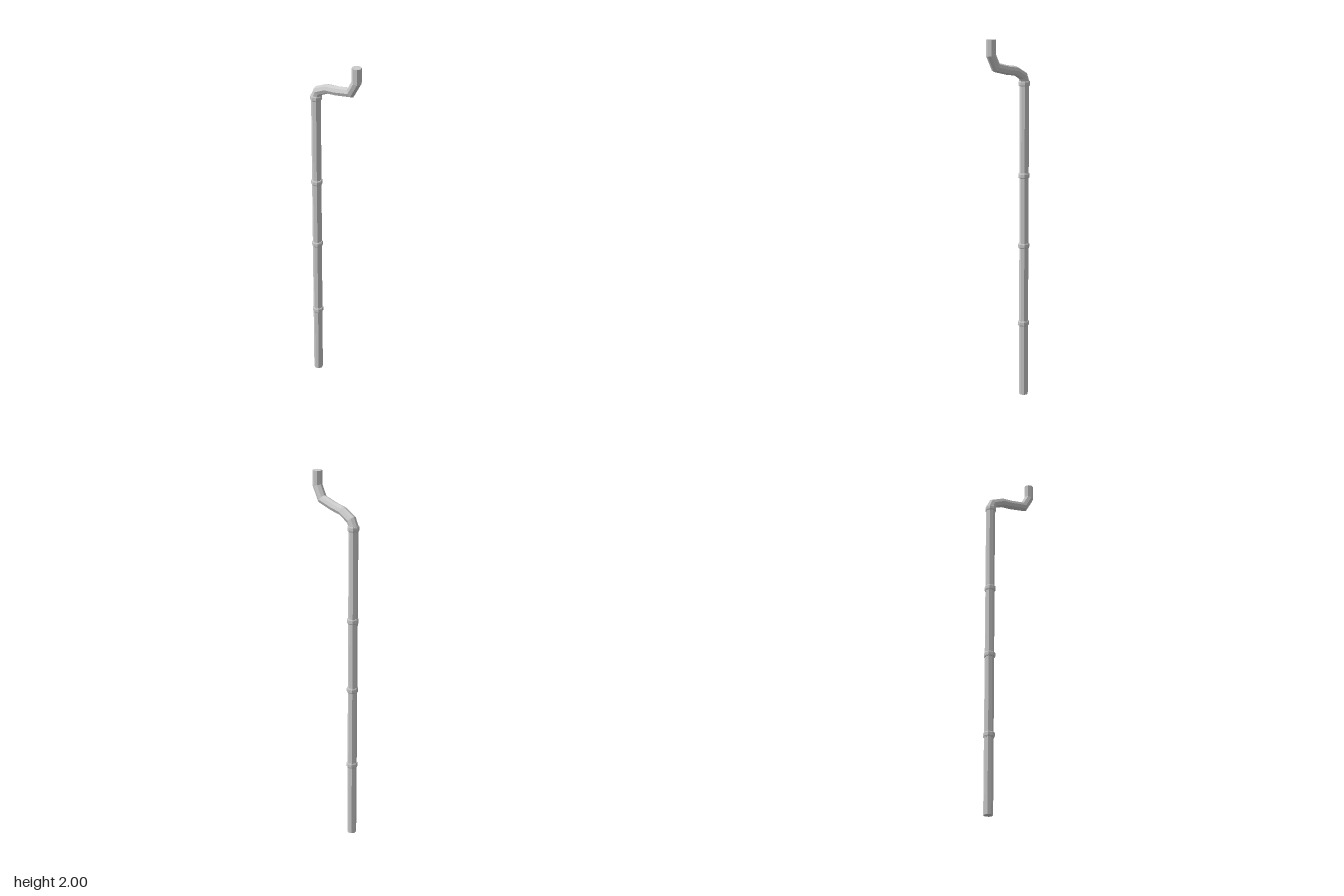
import * as THREE from 'three';

const SIDES = 8;
const RADIUS = 0.025;
const material = new THREE.MeshStandardMaterial({ color: 0xcccccc, flatShading: true });

// Centre line of the pipe: straight drop, then an S-bend to the outlet (x, y, z)
const PATH = [
  [-0.136, 0, 0], [-0.136, 1.76, 0], [-0.121, 1.792, -0.001], [-0.056, 1.824, -0.002],
  [0.008, 1.834, -0.002], [0.1, 1.856, -0.003], [0.138, 1.922, -0.003], [0.138, 2, -0.003],
].map((p) => new THREE.Vector3(...p));

// Sweeps an octagon along the path with mitred joints and closed ends
function sweepPipe(path, radius) {
  const positions = [];
  const index = [];
  const last = path.length - 1;
  path.forEach((p, i) => {
    const before = path[Math.max(i - 1, 0)];
    const after = path[Math.min(i + 1, last)];
    const tIn = p.clone().sub(i > 0 ? before : after).normalize();
    if (i === 0) tIn.negate();
    const tOut = i < last ? after.clone().sub(p).normalize() : tIn.clone();
    const t = tIn.clone().add(tOut).normalize();
    const miter = radius / t.dot(tIn);
    for (let j = 0; j < SIDES; j++) {
      const a = (j / SIDES) * Math.PI * 2;
      const across = Math.cos(a) * miter;
      positions.push(p.x + t.y * across, p.y - t.x * across, p.z + Math.sin(a) * radius);
    }
  });
  for (let i = 0; i < last; i++) {
    for (let j = 0; j < SIDES; j++) {
      const a = i * SIDES + j;
      const b = i * SIDES + ((j + 1) % SIDES);
      index.push(a, a + SIDES, b, b, a + SIDES, b + SIDES);
    }
  }
  // End caps
  const top = last * SIDES;
  for (let j = 1; j < SIDES - 1; j++) {
    index.push(0, j, j + 1, top, top + j + 1, top + j);
  }
  const geometry = new THREE.BufferGeometry();
  geometry.setAttribute('position', new THREE.Float32BufferAttribute(positions, 3));
  geometry.setIndex(index);
  const flat = geometry.toNonIndexed();
  flat.computeVertexNormals();
  return flat;
}

export function createModel() {
  const model = new THREE.Group();
  model.name = 'drainPipe';

  const pipe = new THREE.Mesh(sweepPipe(PATH, RADIUS), material);
  pipe.name = 'pipe';
  model.add(pipe);

  // Joint collars with slightly bevelled rims
  const profile = [[0.024, -0.014], [0.028, -0.014], [0.0305, -0.008], [0.0305, 0.008], [0.028, 0.014], [0.024, 0.014]];
  const collarGeometry = new THREE.LatheGeometry(profile.map(([r, y]) => new THREE.Vector2(r, y)), SIDES);
  [0.42, 0.865, 1.255, 1.75].forEach((y, i) => {
    const collar = new THREE.Mesh(collarGeometry, material);
    collar.name = `collar${i + 1}`;
    collar.position.set(-0.135, y, 0);
    model.add(collar);
  });

  return model;
}
